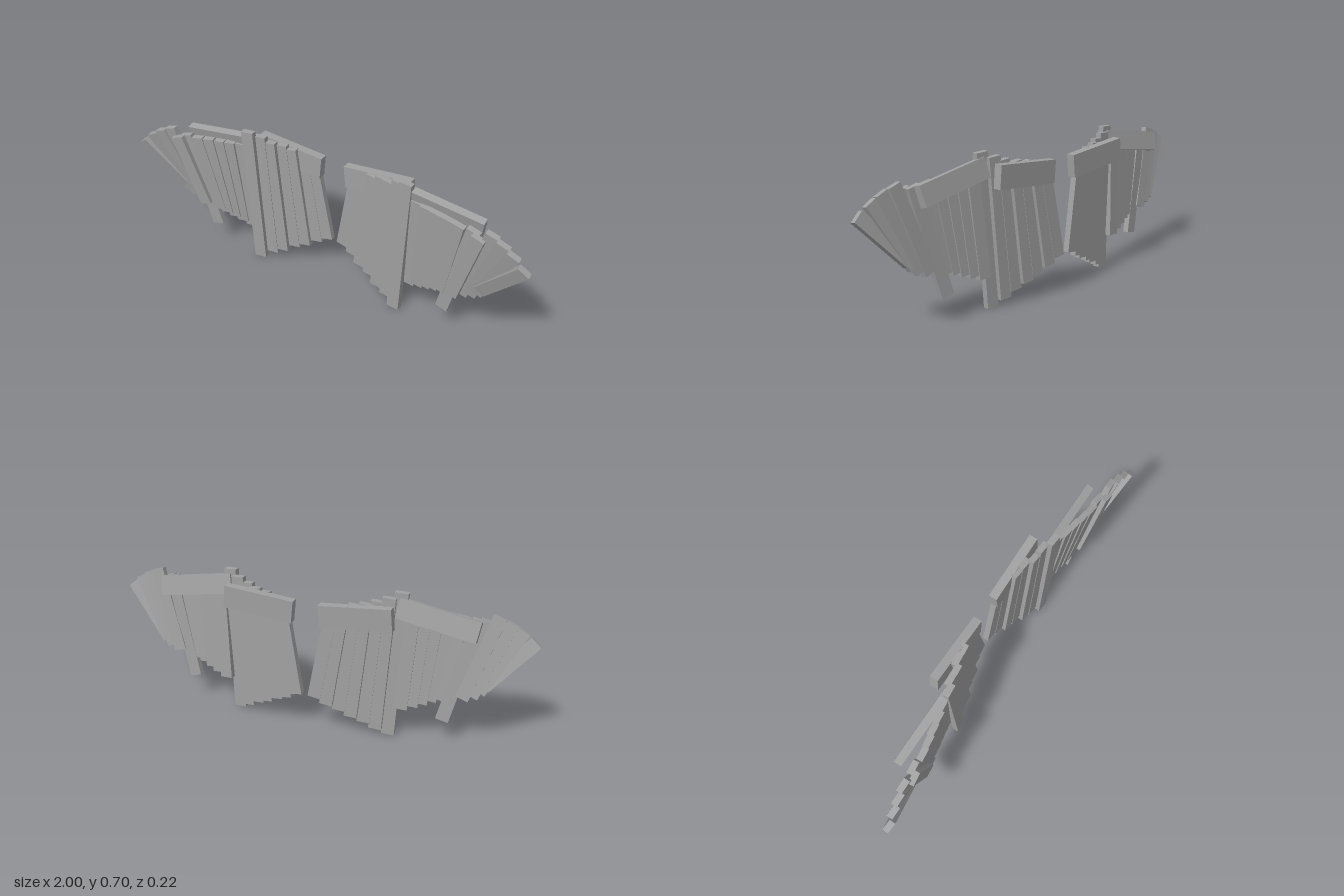
import * as THREE from 'three';

const grey = new THREE.MeshStandardMaterial({ color: 0xa0a0a0 });
grey.name = 'grey';

// Box running between two end points; slope turns its width toward z
function slat(name, a, b, width, depth, slope, side) {
  const p = new THREE.Vector3(a[0] * side, a[1], a[2]);
  const q = new THREE.Vector3(b[0] * side, b[1], b[2]);
  const y = q.clone().sub(p);
  const length = y.length();
  y.normalize();
  const x = new THREE.Vector3(1, 0, slope * side);
  x.addScaledVector(y, -x.dot(y)).normalize();
  const z = new THREE.Vector3().crossVectors(x, y);
  const mesh = new THREE.Mesh(new THREE.BoxGeometry(width, length, depth), grey);
  mesh.name = name;
  mesh.quaternion.setFromRotationMatrix(new THREE.Matrix4().makeBasis(x, y, z));
  mesh.position.copy(p).add(q).multiplyScalar(0.5);
  return mesh;
}

function createWing(side) {
  const wing = new THREE.Group();
  wing.name = side > 0 ? 'leftWing' : 'rightWing';

  // Arm bones along the back
  wing.add(slat('upperArmBone', [0.063, 0.572, -0.081], [0.393, 0.602, -0.081], 0.105, 0.04, 0, side));
  wing.add(slat('forearmBone', [0.395, 0.631, -0.006], [0.752, 0.575, -0.019], 0.092, 0.036, 0, side));

  // Inner feathers, from the wrist toward the body
  const innerTop = [0.697, 0.675, 0.655, 0.645, 0.635, 0.62, 0.6];
  const innerBottom = [0.002, 0.033, 0.06, 0.089, 0.116, 0.145, 0.175];
  const innerZ = [-0.004, -0.03, -0.037, -0.061, -0.067, -0.089, -0.095];
  innerTop.forEach((top, i) => {
    wing.add(slat('innerFeather', [0.37 - i * 0.0545, innerBottom[i], innerZ[i]],
      [0.405 - i * 0.0477, top, innerZ[i] + 0.013], 0.06, 0.029, 0.08, side));
  });

  // Middle feathers: bottom x, y, z then top x, y, z
  [
    [0.43, 0.155, -0.025, 0.46, 0.62, 0.005],
    [0.475, 0.172, -0.015, 0.508, 0.618, 0.02],
    [0.515, 0.188, -0.005, 0.56, 0.615, 0.03],
    [0.553, 0.205, 0.005, 0.612, 0.615, 0.042],
    [0.59, 0.215, 0.012, 0.668, 0.61, 0.052],
    [0.613, 0.118, 0.007, 0.735, 0.605, 0.05],
    [0.66, 0.235, 0.037, 0.768, 0.595, 0.076],
  ].forEach(f => wing.add(slat('middleFeather', f.slice(0, 3), f.slice(3), 0.06, 0.028, 0.1, side)));

  // Tip feathers fanning outward
  [
    [0.695, 0.238, 0.012, 0.82, 0.622, 0.062],
    [0.735, 0.255, 0.016, 0.873, 0.6, 0.072],
    [0.765, 0.28, 0.022, 0.922, 0.57, 0.08],
    [0.783, 0.304, 0.03, 0.977, 0.522, 0.09],
  ].forEach(f => wing.add(slat('tipFeather', f.slice(0, 3), f.slice(3), 0.06, 0.028, 0, side)));
  return wing;
}

export function createModel() {
  const model = new THREE.Group();
  model.name = 'wings';
  model.add(createWing(1), createWing(-1));
  return model;
}
